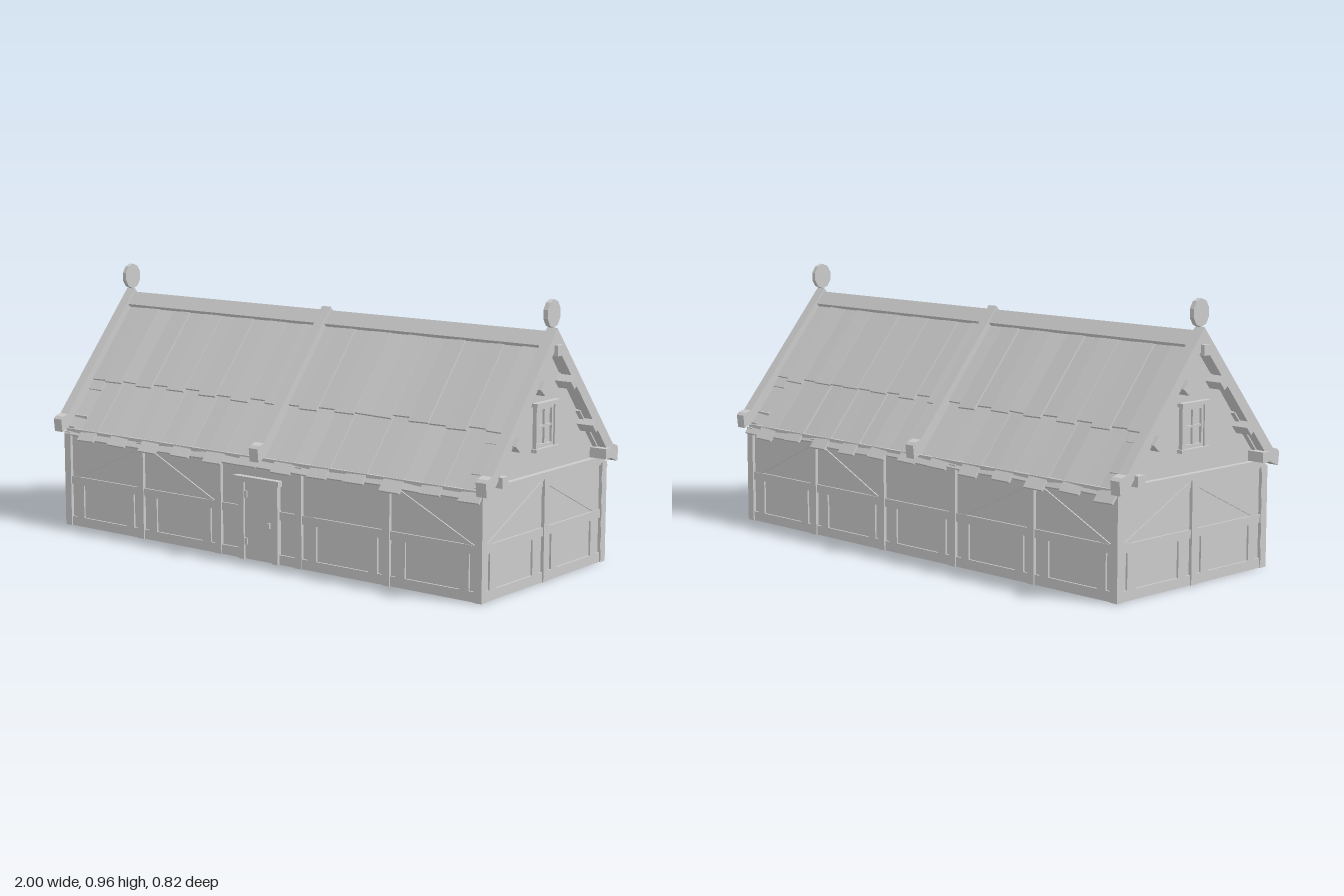
import * as THREE from 'three';

const material = new THREE.MeshStandardMaterial({ color: 0xcccccc, flatShading: true, side: THREE.DoubleSide });
const SLOPE = 0.7; // roof lean from vertical, radians

function add(parent, name, geometry, x = 0, y = 0, z = 0) {
  const mesh = new THREE.Mesh(geometry, material);
  mesh.name = name;
  mesh.position.set(x, y, z);
  parent.add(mesh);
  return mesh;
}

// Box given by its limits on each axis
function block(parent, name, x0, x1, y0, y1, z0, z1) {
  return add(parent, name, new THREE.BoxGeometry(x1 - x0, y1 - y0, z1 - z0),
    (x0 + x1) / 2, (y0 + y1) / 2, (z0 + z1) / 2);
}

// Flat outline extruded from z0 to z1
function slab(points, z0, z1) {
  const shape = new THREE.Shape(points.map(([x, y]) => new THREE.Vector2(x, y)));
  return new THREE.ExtrudeGeometry(shape, { depth: z1 - z0, bevelEnabled: false }).translate(0, 0, z0);
}

// Cross-section mirrored about the ridge, extruded along x
function ridgeSection(parent, name, outer, inner, x0, x1) {
  const flip = (list) => list.map(([z, y]) => [-z, y]);
  const points = [...outer, ...[...inner].reverse(), ...flip(inner).slice(1), ...flip(outer).slice(1).reverse()];
  return add(parent, name, slab(points, x0, x1).rotateY(Math.PI / 2));
}

// Timber-framed wall along x; its outer timber face is at z = 0
function makeWall(name, half, posts, braces, door) {
  const wall = new THREE.Group();
  wall.name = name;
  const back = -0.026, face = -0.004;
  block(wall, 'infill', -half, half, 0.005, 0.36, -0.021, -0.011);
  block(wall, 'sill', -half, half, 0, 0.012, -0.03, face);
  block(wall, 'topPlate', -half, half, 0.35, 0.372, -0.03, face);
  posts.forEach((u) => block(wall, 'post', u - 0.015, u + 0.015, 0, 0.36, -0.03, 0.001));
  for (let i = 0; i + 1 < posts.length; i++) {
    const a = posts[i] + 0.015, b = posts[i + 1] - 0.015;
    const doorBay = door && a < 0 && b > 0;
    const spans = doorBay ? [[a, -0.08], [0.08, b]] : [[a, b]];
    for (const [s, e] of spans) {
      block(wall, 'bottomRail', s, e, 0.005, 0.035, back, face);
      block(wall, 'middleRail', s, e, 0.16, 0.19, back, face);
    }
    if (!doorBay) {
      block(wall, 'stile', a + 0.024, a + 0.062, 0.035, 0.16, back, face);
      block(wall, 'stile', b - 0.062, b - 0.024, 0.035, 0.16, back, face);
    }
  }
  // Diagonal braces, from a high post down to a low one
  for (const [high, low] of braces) {
    const d = Math.sign(low - high), top = high + d * 0.015, foot = low - d * 0.02;
    add(wall, 'brace', slab([[foot, 0.19], [foot - d * 0.04, 0.19], [top, 0.333], [top, 0.353]], back, face - 0.002));
  }
  return wall;
}

function makeDoor() {
  const door = new THREE.Group();
  door.name = 'door';
  block(door, 'doorLeaf', -0.06, 0.075, 0.005, 0.28, -0.025, 0);
  for (const x of [-0.07, 0.085]) block(door, 'doorJamb', x - 0.013, x + 0.013, 0, 0.28, -0.03, 0.008);
  block(door, 'doorLintel', -0.102, 0.105, 0.28, 0.3, -0.03, 0.013);
  for (const y of [0.065, 0.235]) block(door, 'hinge', -0.06, -0.045, y - 0.012, y + 0.012, 0, 0.005);
  block(door, 'doorHandle', 0.05, 0.06, 0.125, 0.145, 0, 0.007);
  return door;
}

// Gable wall, window and purlin ends; outward is +z
function makeGable() {
  const gable = new THREE.Group();
  gable.name = 'gable';
  add(gable, 'gableWall', slab([[-0.375, 0.36], [0.375, 0.36], [0, 0.82]], 0.92, 0.935));
  block(gable, 'tieBeam', -0.372, 0.372, 0.357, 0.38, 0.915, 0.955);
  for (const s of [-1, 1]) {
    block(gable, 'windowJamb', s * 0.057 - 0.007, s * 0.057 + 0.007, 0.465, 0.607, 0.912, 0.95);
    block(gable, 'sashSide', s * 0.045 - 0.005, s * 0.045 + 0.005, 0.465, 0.607, 0.918, 0.944);
  }
  for (const y of [0.471, 0.6]) block(gable, 'sashRail', -0.05, 0.05, y - 0.006, y + 0.006, 0.918, 0.944);
  block(gable, 'mullion', -0.004, 0.004, 0.465, 0.607, 0.918, 0.943);
  block(gable, 'glazingBar', -0.05, 0.05, 0.533, 0.541, 0.918, 0.943);
  block(gable, 'windowHead', -0.072, 0.072, 0.607, 0.62, 0.91, 0.957);
  block(gable, 'windowSill', -0.072, 0.072, 0.453, 0.465, 0.91, 0.957);
  const purlin = new THREE.BoxGeometry(0.036, 0.036, 0.12);
  add(gable, 'ridgePurlin', purlin, 0, 0.796, 0.94);
  for (const s of [-1, 1]) {
    add(gable, 'eavePurlin', purlin, s * 0.321, 0.4, 0.94);
    for (const [u, y] of [[0.093, 0.679], [0.238, 0.511]]) {
      add(gable, 'purlin', purlin, s * u, y, 0.94).rotation.z = s * SLOPE;
    }
  }
  // Disc finial on the apex
  const disc = new THREE.CylinderGeometry(0.041, 0.041, 0.017, 10).rotateX(Math.PI / 2).scale(1, 1.17, 1);
  add(gable, 'finial', disc, 0, 0.917, 0.962);
  return gable;
}

// Two overlapping courses of uneven planks on one slope
function makeSlope(random) {
  const slope = new THREE.Group();
  slope.name = 'roofSlope';
  slope.position.y = 0.82;
  slope.rotation.x = -SLOPE;
  const count = 24, pitch = 1.9 / count;
  const courses = [['lowerPlank', 0.33, 0.622, -0.008], ['upperPlank', 0, 0.365, 0.005]];
  for (const [name, start, end, lift] of courses) {
    for (let i = 0; i < count; i++) {
      const length = end - start + (i % 2 ? 0.009 : -0.006) + (random() - 0.5) * 0.016;
      const plank = add(slope, name, new THREE.BoxGeometry(pitch * 1.06, length, 0.009),
        -0.95 + pitch * (i + 0.5), -start - length / 2, lift + (i % 2 ? 0.002 : -0.002));
      plank.rotation.y = (random() - 0.5) * 0.12;
    }
  }
  return slope;
}

export function createModel() {
  const model = new THREE.Group();
  model.name = 'timberHouse';
  let seed = 7;
  const random = () => (seed = (seed * 16807) % 2147483647) / 2147483647;

  // Walls
  const longPosts = [-0.94, -0.565, -0.185, 0.185, 0.565, 0.94];
  const longBraces = [-1, 1].flatMap((s) => [[s * 0.565, s * 0.94], [s * 0.565, s * 0.185]]);
  const endPosts = [-0.37, 0, 0.37];
  const endBraces = [[0, 0.37], [0, -0.37]];
  const front = makeWall('frontWall', 0.95, longPosts, longBraces, true);
  front.position.z = 0.384;
  front.add(makeDoor());
  const back = makeWall('backWall', 0.95, longPosts, longBraces, false);
  back.position.z = -0.384;
  back.rotation.y = Math.PI;
  model.add(front, back);
  for (const s of [-1, 1]) {
    const end = makeWall(s > 0 ? 'leftWall' : 'rightWall', 0.375, endPosts, endBraces, false);
    end.position.x = s * 0.955;
    end.rotation.y = s * Math.PI / 2;
    const gable = makeGable();
    gable.rotation.y = s * Math.PI / 2;
    model.add(end, gable);
  }

  // Roof planks
  for (const turn of [0, Math.PI]) {
    const side = new THREE.Group();
    side.name = turn ? 'backRoof' : 'frontRoof';
    side.rotation.y = turn;
    side.add(makeSlope(random));
    model.add(side);
  }

  // Barge boards, middle rib and ridge cap
  const outer = [[0, 0.87], [0.375, 0.425], [0.4, 0.418], [0.411, 0.408], [0.406, 0.36]];
  const inner = [[0, 0.81], [0.365, 0.376]];
  ridgeSection(model, 'bargeBoard', outer, inner, -0.985, -0.945);
  ridgeSection(model, 'bargeBoard', outer, inner, 0.945, 0.985);
  ridgeSection(model, 'middleRib', outer, inner, -0.015, 0.025);
  ridgeSection(model, 'ridgeCap', [[0, 0.857], [0.038, 0.812]], [[0, 0.835], [0.029, 0.801]], -0.95, 0.95);
  return model;
}
